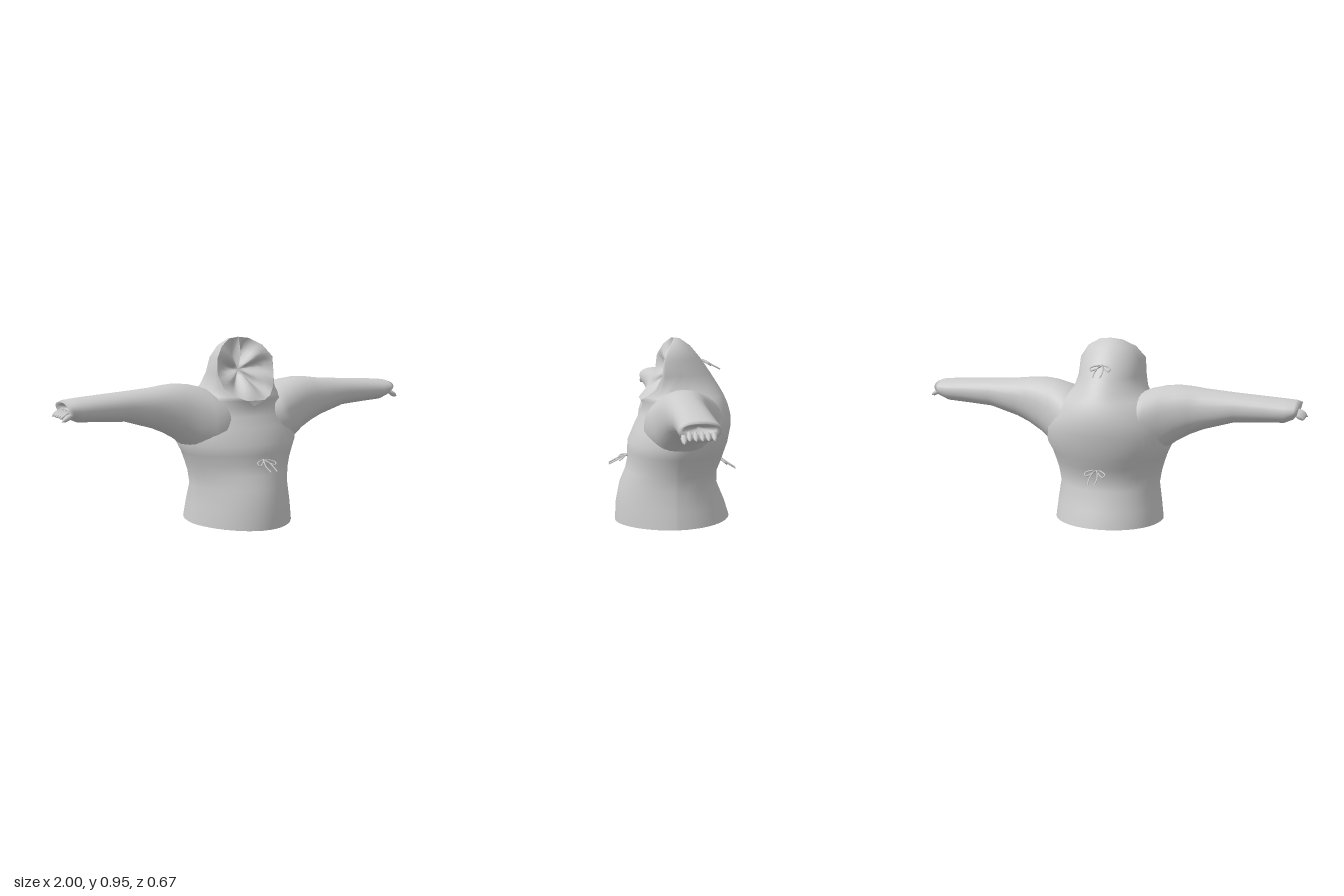
import * as THREE from 'three';
import { mergeVertices } from 'three/addons/utils/BufferGeometryUtils.js';

const grey = new THREE.MeshStandardMaterial({ color: 0xcccccc, side: THREE.DoubleSide });

function mesh(name, geometry) {
  const m = new THREE.Mesh(geometry, grey);
  m.name = name;
  return m;
}

// Skin a list of cross-sections that all have the same number of points
function loft(rows) {
  const n = rows[0].length, index = [];
  for (let i = 0; i < rows.length - 1; i++) {
    for (let j = 0; j < n - 1; j++) {
      const a = i * n + j, d = a + n;
      index.push(a, a + 1, d + 1, a, d + 1, d);
    }
  }
  let g = new THREE.BufferGeometry().setFromPoints(rows.flat());
  g.setIndex(index);
  g = mergeVertices(g, 1e-4);
  g.computeVertexNormals();
  return g;
}

// Height, half width, widest z, front z, back z, half width of the face opening
const BODY = [
  [0.01, 0.285, 0, 0.305, -0.295, 0],
  [0.10, 0.275, 0, 0.30, -0.27, 0],
  [0.20, 0.262, 0, 0.28, -0.228, 0],
  [0.27, 0.274, 0, 0.25, -0.23, 0],
  [0.32, 0.288, 0, 0.238, -0.25, 0],
  [0.37, 0.305, 0, 0.237, -0.267, 0],
  [0.42, 0.33, -0.01, 0.235, -0.283, 0],
  [0.50, 0.33, -0.02, 0.20, -0.298, 0],
  [0.56, 0.305, -0.03, 0.17, -0.298, 0],
  [0.61, 0.275, -0.03, 0.155, -0.285, 0],
  [0.64, 0.252, -0.02, 0.176, -0.272, 0.05],
  [0.66, 0.232, -0.01, 0.165, -0.263, 0.10],
  [0.70, 0.19, 0.03, 0.15, -0.24, 0.148],
  [0.77, 0.172, 0.06, 0.125, -0.195, 0.167],
  [0.85, 0.168, 0.06, 0.08, -0.14, 0.164],
  [0.91, 0.124, 0.03, 0.05, -0.09, 0.12],
  [0.945, 0.06, 0.0, 0.01, -0.04, 0.058],
  [0.952, 0.002, -0.005, -0.004, -0.01, 0.001],
];

function bodyRow([y, w, c, front, back, open]) {
  const cut = Math.asin(open / w), n = 48, row = [];
  // The front is more pointed towards the hem
  const frontPower = 1.35 - 0.2 * THREE.MathUtils.smoothstep(y, 0.1, 0.5);
  for (let j = 0; j <= n; j++) {
    const t = cut + (2 * Math.PI - 2 * cut) * j / n;
    const k = Math.cos(t);
    const z = k > 0 ? c + (front - c) * Math.pow(k, frontPower) : c - (c - back) * Math.pow(-k, 0.9);
    const dip = y < 0.05 ? -0.01 * k : 0;
    row.push(new THREE.Vector3(w * Math.sin(t), y + dip, z));
  }
  return row;
}

// Star of soft folds gathered to the middle of the hood opening
function faceFolds(rows) {
  const open = rows.filter((r, i) => BODY[i][5] > 0);
  const corners = [...open.map(r => r[0]), ...open.map(r => r[r.length - 1]).reverse()];
  const rim = [], step = 3, count = corners.length * step;
  for (let i = 0; i <= count; i++) {
    const a = Math.floor(i / step) % corners.length;
    rim.push(corners[a].clone().lerp(corners[(a + 1) % corners.length], (i % step) / step));
  }
  const centre = new THREE.Vector3(0, 0.785, -0.01);
  return loft([0, 0.2, 0.4, 0.6, 0.8, 1].map(s => rim.map((p, i) => {
    const q = p.clone().lerp(centre, s);
    q.z += 0.026 * Math.sin(Math.PI * s) * Math.cos(6 * 2 * Math.PI * (i + step / 2) / count);
    return q;
  })));
}

// x, bottom y, top y, back z, front z, lean of the section along x
const ARM = [
  [0.12, 0.36, 0.66, -0.245, 0.15, 0],
  [0.17, 0.345, 0.685, -0.245, 0.166, 0],
  [0.22, 0.36, 0.705, -0.222, 0.153, 0],
  [0.29, 0.39, 0.722, -0.17, 0.13, 0],
  [0.36, 0.445, 0.73, -0.147, 0.113, 0],
  [0.43, 0.485, 0.726, -0.126, 0.101, 0],
  [0.50, 0.515, 0.717, -0.112, 0.092, 0],
  [0.65, 0.56, 0.706, -0.104, 0.082, 0],
  [0.80, 0.57, 0.697, -0.10, 0.082, 0],
  [0.90, 0.576, 0.69, -0.10, 0.087, 0],
  [0.945, 0.594, 0.685, -0.098, 0.087, 0.006],
  [0.967, 0.614, 0.676, -0.085, 0.08, 0.008],
  [0.945, 0.625, 0.668, -0.075, 0.07, 0.008],
  [0.925, 0.645, 0.652, -0.01, 0.01, 0],
];

function armRow([x, lo, hi, back, front, lean]) {
  const row = [], round = v => Math.sign(v) * Math.pow(Math.abs(v), 0.9);
  for (let j = 0; j <= 28; j++) {
    const t = j / 28 * 2 * Math.PI, c = round(Math.cos(t)), s = round(Math.sin(t));
    row.push(new THREE.Vector3(x + lean * c, (lo + hi) / 2 + c * (hi - lo) / 2,
      (front + back) / 2 + s * (front - back) / 2));
  }
  return row;
}

function arm(name, side) {
  const g = new THREE.Group();
  g.name = name;
  g.add(mesh('sleeve', loft(ARM.map(armRow))));
  // Row of drooping claws at the end of the sleeve, the first one larger
  const profile = [[0, 0], [0.007, 0.012], [0.0125, 0.036], [0.01, 0.056], [0, 0.07]]
    .map(p => new THREE.Vector2(...p));
  [0.07, 0.047, 0.02, -0.008, -0.034, -0.06].forEach((z, i) => {
    const claw = mesh('claw', new THREE.LatheGeometry(profile, 7));
    claw.position.set(i === 0 ? 0.93 : 0.938, i === 0 ? 0.63 : 0.637, z);
    claw.rotation.z = -Math.PI / 2 - 0.5;
    if (i === 0) claw.scale.setScalar(1.15);
    g.add(claw);
  });
  g.scale.x = side;
  return g;
}

// Flat bow of thin cord: two loops and two tails
function bow(name, y, z, turn, slope) {
  const g = new THREE.Group();
  g.name = name;
  const cord = (label, pts, closed) => g.add(mesh(label, new THREE.TubeGeometry(
    new THREE.CatmullRomCurve3(pts.map(p => new THREE.Vector3(...p)), closed), 18, 0.0038, 5, closed)));
  for (const s of [-1, 1]) {
    cord('loop', [[0, 0, 0], [s * 0.025, 0.003, 0.008], [s * 0.053, 0.002, 0.03],
      [s * 0.045, -0.003, 0.045], [s * 0.02, -0.002, 0.025]], true);
    cord('tail', [[0, 0, 0], [s * 0.012, 0.004, 0.025], [s * 0.02, 0, 0.06], [s * 0.018, -0.002, 0.103]], false);
  }
  g.add(mesh('knot', new THREE.SphereGeometry(0.008, 8, 6)));
  g.position.set(0, y, z);
  g.rotation.set(slope, turn, 0, 'YXZ');
  return g;
}

export function createModel() {
  const model = new THREE.Group();
  model.name = 'hoodedTop';
  const rows = BODY.map(bodyRow);
  model.add(mesh('bodyAndHood', loft(rows)));
  model.add(mesh('faceFolds', faceFolds(rows)));
  model.add(arm('leftArm', 1), arm('rightArm', -1));
  model.add(bow('frontBow', 0.345, 0.24, 0, 0.4));
  model.add(bow('backBow', 0.315, -0.243, Math.PI, 0.52));
  model.add(bow('hoodBow', 0.832, -0.152, Math.PI, 0.43));
  return model;
}
